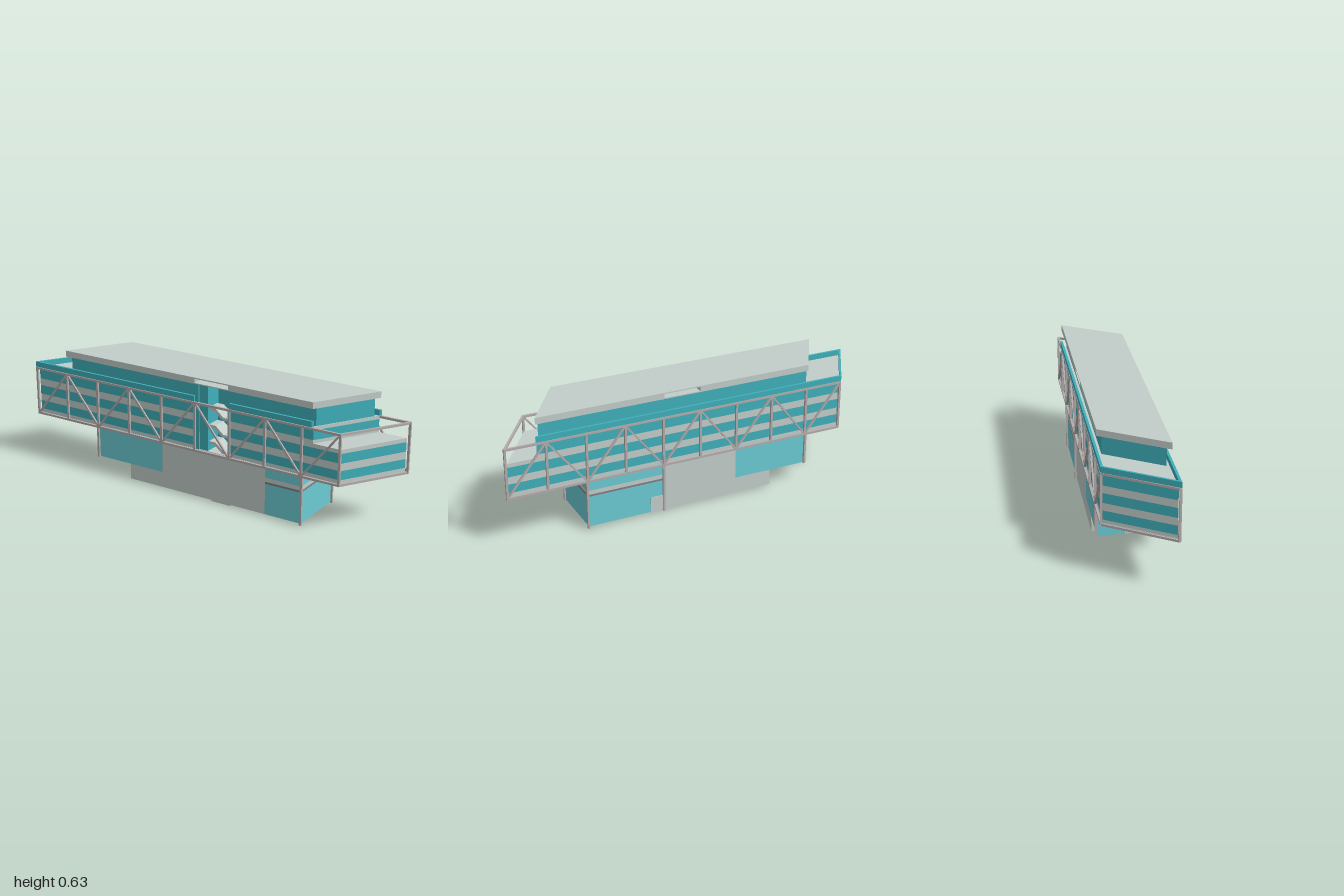
import * as THREE from 'three';

const mat = (color) => new THREE.MeshStandardMaterial({ color, flatShading: true });
const teal = mat(0x3fb0bb), glass = mat(0x6ccbd4), pale = mat(0xc2cdc9), steel = mat(0xb5adad), dark = mat(0x857e82);

// x on a slanted line that crosses the front edge (z = 0.16) at x
const slant = (x, z) => x + (0.16 - z) * 0.625;

// upright prism over a floor plan given as [x, z] corners
function prism(parent, name, plan, y0, y1, material) {
  const shape = new THREE.Shape(plan.map(([x, z]) => new THREE.Vector2(x, -z)));
  const geo = new THREE.ExtrudeGeometry(shape, { depth: y1 - y0, bevelEnabled: false });
  geo.rotateX(-Math.PI / 2).translate(0, y0, 0);
  const mesh = new THREE.Mesh(geo, material);
  mesh.name = name;
  parent.add(mesh);
  return mesh;
}

function box(parent, name, x0, x1, y0, y1, z0, z1, material) {
  return prism(parent, name, [[x0, z1], [x1, z1], [x1, z0], [x0, z0]], y0, y1, material);
}

// square bar between two points
function bar(parent, name, a, b, t, material = steel) {
  const p = new THREE.Vector3(...a), q = new THREE.Vector3(...b);
  const mesh = new THREE.Mesh(new THREE.BoxGeometry(t, t, p.distanceTo(q)), material);
  mesh.position.copy(p).lerp(q, 0.5);
  mesh.lookAt(q);
  mesh.name = name;
  parent.add(mesh);
}

// parallelogram plan, x measured along the front edge line
const skew = (x0, x1, z0, z1) => [[slant(x0, z1), z1], [slant(x1, z1), z1], [slant(x1, z0), z0], [slant(x0, z0), z0]];

// the same plan with the stairwell cut into its front
function notched(x0, x1, z0, z1) {
  const p = skew(x0, x1, z0, z1);
  return [p[0], [0, z1], [0, 0.05], [0.2, 0.05], [0.2, z1], p[1], p[2], p[3]];
}

function groundFloor() {
  const g = new THREE.Group();
  g.name = 'groundFloor';
  const w = 0.152;
  prism(g, 'solidWall', [[-0.2, w], [0.4, w], [0.4, 0], [0.2, 0], [0.2, -w], [-0.2, -w]], 0.01, 0.262, pale);
  const room = [[0.4, w], [0.597, w], [0.597, -w], [0.2, -w], [0.2, 0], [0.4, 0]];
  [[0.01, 0.17, glass], [0.17, 0.18, dark], [0.18, 0.202, pale], [0.202, 0.262, glass]]
    .forEach(([a, b, m]) => prism(g, 'glazedRoom', room, a, b, m));
  box(g, 'raisedRoom', -0.597, -0.2, 0.092, 0.262, -w, w, glass);
  box(g, 'plinth', -0.4, -0.2, 0.01, 0.092, -w, w, pale);
  box(g, 'backDoor', 0.2, 0.27, 0.01, 0.09, -0.155, -0.15, pale);
  box(g, 'sideDoor', -0.6, -0.595, 0.095, 0.165, -0.02, 0.05, pale);
  // rounded entrance step
  const step = Array.from({ length: 17 }, (_, i) => {
    const a = i / 16 * Math.PI;
    return [0.145 + 0.055 * Math.cos(a), 0.145 - 0.07 * Math.sin(a)];
  });
  prism(g, 'entranceStep', step, 0, 0.01, pale);
  // supporting posts
  [[-0.6, 0.157, 0.09], [-0.6, -0.157, 0.09], [0.6, 0.157, 0.004], [0.6, -0.157, 0.004], [0.2, -0.157, 0.004]]
    .forEach(([x, z, y]) => bar(g, 'post', [x, y, z], [x, 0.26, z], 0.011));
  return g;
}

function mainFloor() {
  const g = new THREE.Group();
  g.name = 'mainFloor';
  const w = 0.15;
  prism(g, 'floorSlab', skew(-0.992, 0.792, -w, w), 0.258, 0.264, pale);
  for (let i = 0; i < 13; i++) {
    const z = -0.144 + i * 0.024;
    bar(g, 'joist', [slant(-0.985, z), 0.254, z], [slant(0.785, z), 0.254, z], 0.008);
  }
  // striped facade, lower part runs on around the balcony
  [[0.264, 0.28, pale], [0.28, 0.325, teal], [0.325, 0.362, pale], [0.362, 0.41, teal], [0.41, 0.43, pale]]
    .forEach(([a, b, m]) => prism(g, 'facadeBand', notched(-0.99, 0.79, -w, w), a, b, m));
  [[0.43, 0.447, pale], [0.447, 0.495, teal], [0.495, 0.512, pale]]
    .forEach(([a, b, m]) => prism(g, 'upperFacadeBand', notched(-0.99, 0.645, -w, w), a, b, m));
  // parapet around the roof terrace
  const o = 0.161, n = 0.149;
  const strip = (plan) => prism(g, 'parapet', plan, 0.512, 0.54, teal);
  strip([[-1, o], [0, o], [0, n], [slant(-1, n), n]]);
  strip([[0.2, o], [0.645, o], [slant(0.645, n), n], [0.2, n]]);
  strip(skew(-1, 0.645, -o, -n));
  strip(skew(-1, -0.988, -n, n));
  return g;
}

function stairwell() {
  const g = new THREE.Group();
  g.name = 'stairwell';
  box(g, 'backWall', 0.0, 0.2, 0.264, 0.6, 0.045, 0.054, teal);
  box(g, 'sideWall', 0.195, 0.202, 0.264, 0.6, 0.05, 0.135, teal);
  box(g, 'fin', 0, 0.022, 0.264, 0.6, 0.05, 0.154, teal);
  box(g, 'innerFin', 0.022, 0.07, 0.264, 0.6, 0.05, 0.146, teal);
  // flights with a landing at each end
  const profile = [[0.072, 0], [0.11, 0], [0.155, -0.038], [0.19, -0.038], [0.19, -0.052], [0.15, -0.052], [0.105, -0.015], [0.072, -0.015]];
  const shape = new THREE.Shape(profile.map(([x, y]) => new THREE.Vector2(x, y)));
  const geo = new THREE.ExtrudeGeometry(shape, { depth: 0.075, bevelEnabled: false });
  [0.49, 0.402, 0.315].forEach((y) => {
    const flight = new THREE.Mesh(geo, pale);
    flight.position.set(0, y, 0.065);
    flight.name = 'stairFlight';
    g.add(flight);
  });
  return g;
}

function topFloor() {
  const g = new THREE.Group();
  g.name = 'topFloor';
  prism(g, 'penthouse', notched(-0.79, 0.64, -0.13, 0.135), 0.51, 0.602, teal);
  // roof with a slot through it above the stairs
  const [a, b, c, d] = skew(-0.8, 0.645, -0.153, 0.155);
  prism(g, 'roofLeft', [a, [0, a[1]], [0, d[1]], d], 0.6, 0.626, pale);
  prism(g, 'roofRight', [[0.19, b[1]], b, c, [0.19, c[1]]], 0.6, 0.626, pale);
  prism(g, 'roofTop', [a, b, c, d], 0.626, 0.632, pale);
  box(g, 'slotFloor', 0, 0.19, 0.6, 0.605, -0.153, 0.155, pale);
  return g;
}

// zigzag truss along the front; turned half around for the back
function truss(name) {
  const g = new THREE.Group();
  g.name = name;
  const z = 0.157, lo = 0.256, hi = 0.505, t = 0.011;
  const at = (i) => -0.994 + i * 1.788 / 9;
  [lo, hi].forEach((y) => bar(g, 'chord', [at(0) - 0.005, y, z], [at(9) + 0.005, y, z], t));
  for (let i = 0; i <= 9; i++) {
    bar(g, 'vertical', [at(i), lo, z], [at(i), hi, z], t);
    if (i < 9) bar(g, 'diagonal', [at(i), i % 2 ? hi : lo, z], [at(i + 1), i % 2 ? lo : hi, z], 0.009);
  }
  // slanted rails across the end
  [lo, hi].forEach((y) => bar(g, 'endRail', [at(9), y, z], [-at(0), y, -z], t));
  return g;
}

export function createModel() {
  const model = new THREE.Group();
  model.name = 'building';
  const back = truss('backTruss');
  back.rotation.y = Math.PI;
  model.add(groundFloor(), mainFloor(), stairwell(), topFloor(), truss('frontTruss'), back);
  return model;
}
